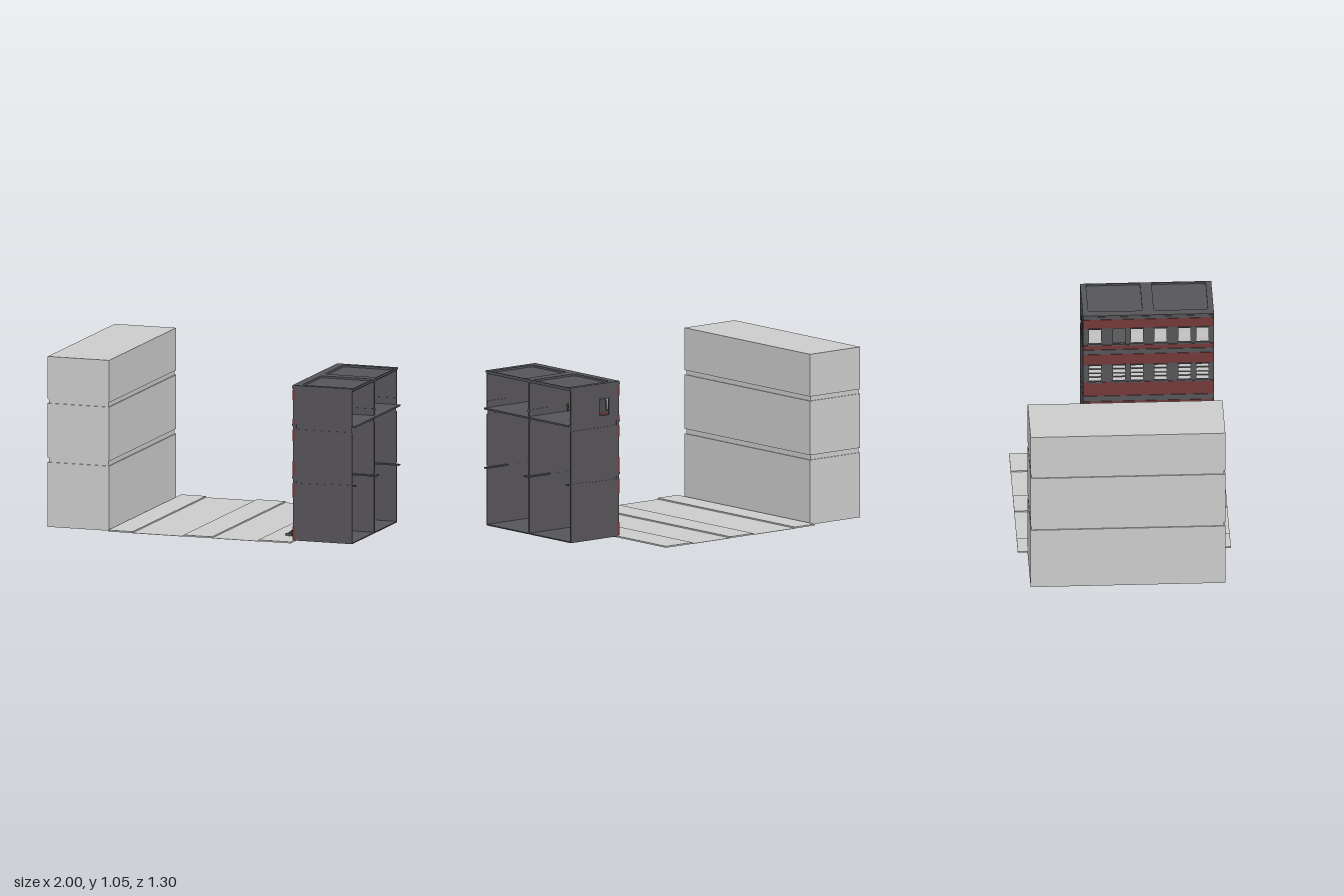
import * as THREE from 'three';

const mat = (color) => new THREE.MeshStandardMaterial({ color, side: THREE.DoubleSide });
const grey = mat(0xcccccc), dark = mat(0x565458), red = mat(0x733838);

function add(parent, name, geometry, material) {
  const mesh = new THREE.Mesh(geometry, material);
  mesh.name = name;
  parent.add(mesh);
  return mesh;
}

// Box given by its extents on each axis
function block(parent, name, material, [x0, x1], [y0, y1], [z0, z1]) {
  const g = new THREE.BoxGeometry(x1 - x0, y1 - y0, z1 - z0);
  g.translate((x0 + x1) / 2, (y0 + y1) / 2, (z0 + z1) / 2);
  return add(parent, name, g, material);
}

// Rectangle outline, corners optionally rounded
function rect(Type, a0, a1, b0, b1, r = 0) {
  const s = new Type();
  s.moveTo(a0 + r, b0);
  s.lineTo(a1 - r, b0);
  if (r) s.quadraticCurveTo(a1, b0, a1, b0 + r);
  s.lineTo(a1, b1 - r);
  if (r) s.quadraticCurveTo(a1, b1, a1 - r, b1);
  s.lineTo(a0 + r, b1);
  if (r) s.quadraticCurveTo(a0, b1, a0, b1 - r);
  s.lineTo(a0, b0 + r);
  if (r) s.quadraticCurveTo(a0, b0, a0 + r, b0);
  return s;
}

const extrude = (shape, depth) =>
  new THREE.ExtrudeGeometry(shape, { depth, bevelEnabled: false, curveSegments: 6 });

// Shape drawn in z and y, extruded from x1 towards the street
function streetPanel(parent, name, material, shape, x1 = 0.605, depth = 0.014) {
  const g = extrude(shape, depth);
  g.rotateY(-Math.PI / 2);
  g.translate(x1, 0, 0);
  return add(parent, name, g, material);
}

// Frame with bowed blinds, split into sashes
function addWindow(house, z, y0, y1, sashes) {
  const w = 0.037;
  const frame = rect(THREE.Shape, z - w - 0.005, z + w + 0.005, y0 - 0.005, y1 + 0.005);
  frame.holes.push(rect(THREE.Path, z - w, z + w, y0, y1));
  streetPanel(house, 'windowFrame', dark, frame, 0.601, 0.015);
  const h = (y1 - y0) / sashes;
  for (let i = 0; i < sashes; i++) {
    const top = y0 + (i + 1) * h, low = y0 + i * h;
    const g = new THREE.PlaneGeometry(h - 0.012, w * 2, 6, 1);
    const p = g.attributes.position;
    for (let k = 0; k < p.count; k++) {
      const t = p.getX(k), across = p.getY(k);
      p.setXYZ(k, 0.598 + 0.006 * Math.sin((t / h) * Math.PI), (low + top) / 2 + t, z + across);
    }
    g.computeVertexNormals();
    add(house, 'blind', g, grey);
    block(house, 'sashRail', dark, [0.594, 0.605], [low - 0.005, low + 0.005], [z - w, z + w]);
    if (sashes > 1) block(house, 'sashBar', dark, [0.591, 0.606],
      [(low + top) / 2 - 0.003, (low + top) / 2 + 0.003], [z - w, z + w]);
  }
}

const STOREYS = [
  { red0: [0.02, 0.10], band: [0.10, 0.28], red1: [0.28, 0.37], win: [0.12, 0.245], sashes: 2, centres: [0.13, -0.127] },
  { red0: [0.41, 0.505], band: [0.505, 0.63], red1: [0.63, 0.70], win: [0.512, 0.622], sashes: 2, centres: [0.13, 0.02, -0.127] },
  { red0: [0.735, 0.765], band: [0.765, 0.885], red1: [0.885, 0.945], win: [0.775, 0.878], sashes: 1, centres: [0.13, 0.02, -0.127] },
];
const WALLS = [[0.015, 0.372], [0.385, 0.705], [0.745, 0.966]];

function createFacade(house, openMiddle) {
  STOREYS.forEach((s, floor) => {
    const band = rect(THREE.Shape, -0.2, 0.2, ...s.band);
    for (const z of s.centres) band.holes.push(rect(THREE.Path, z - 0.037, z + 0.037, ...s.win));
    if (floor === 0) {
      band.holes.push(rect(THREE.Path, -0.05, 0.05, 0.101, 0.24));
      // Brick base sweeps down beside the doorway
      for (const side of [-1, 1]) {
        const base = new THREE.Shape();
        base.moveTo(side * 0.2, 0.02);
        base.lineTo(side * 0.052, 0.02);
        base.lineTo(side * 0.055, 0.055);
        base.quadraticCurveTo(side * 0.07, 0.095, side * 0.115, 0.1);
        base.lineTo(side * 0.2, 0.1);
        streetPanel(house, 'brickBase', red, base, 0.605, 0.018);
        block(house, 'basePanel', dark, [0.596, 0.604], [0.02, 0.1], [side > 0 ? 0.05 : -0.12, side > 0 ? 0.12 : -0.05]);
        block(house, 'doorJamb', dark, [0.588, 0.607], [0.08, 0.245], [side * 0.053 - 0.003, side * 0.053 + 0.003]);
      }
      block(house, 'doorLintel', dark, [0.584, 0.607], [0.24, 0.25], [-0.06, 0.06]);
    } else {
      block(house, 'brickSpandrel', red, [0.589, 0.605], s.red0, [-0.2, 0.2]);
    }
    streetPanel(house, 'windowBand', dark, band, 0.605, 0.012);
    block(house, 'brickFrieze', red, [0.589, 0.605], s.red1, [-0.2, 0.2]);
    for (const z of s.centres) {
      if (!(openMiddle && floor === 2 && z === 0.02)) addWindow(house, z, ...s.win, s.sashes);
      block(house, 'sill', dark, [0.585, 0.605], [s.win[0] - 0.012, s.win[0] - 0.003], [z - 0.046, z + 0.046]);
    }
  });
  // Stepped cornices between storeys and under the roof
  for (const [y0, y1] of [[0.37, 0.41], [0.70, 0.735], [0.945, 0.966]]) {
    block(house, 'cornice', dark, [0.592, 0.612], [y0, y1], [-0.2, 0.2]);
    block(house, 'corniceLip', dark, [0.585, 0.6], [y1 - 0.012, y1], [-0.2, 0.2]);
  }
}

function createHouse(name, sideWindow) {
  const house = new THREE.Group();
  house.name = name;
  createFacade(house, sideWindow);

  // Side walls, one panel per storey with a recessed joint
  for (const side of [-1, 1]) {
    const z0 = side > 0 ? 0.192 : -0.2;
    WALLS.forEach(([y0, y1], floor) => {
      const panel = rect(THREE.Shape, 0.6, 0.975, y0, y1, 0.006);
      if (sideWindow && side < 0 && floor === 2)
        panel.holes.push(rect(THREE.Path, 0.67, 0.75, 0.775, 0.88));
      add(house, 'sideWall', extrude(panel, 0.008).translate(0, 0, z0), dark);
    });
    for (const [y0, y1] of [[0.37, 0.39], [0.70, 0.75]])
      block(house, 'wallJoint', dark, [0.605, 0.97], [y0, y1], [side * 0.195 - 0.002, side * 0.195 + 0.002]);
    block(house, 'floorLedge', dark, [0.82, 0.995], [0.37, 0.378], side > 0 ? [0.175, 0.2] : [-0.2, -0.175]);
    block(house, 'wallTrim', dark, [0.82, 0.975], [0.77, 0.787], side > 0 ? [0.188, 0.2] : [-0.2, -0.188]);
  }
  if (sideWindow) {
    const frame = rect(THREE.Shape, 0.664, 0.756, 0.769, 0.886);
    frame.holes.push(rect(THREE.Path, 0.672, 0.748, 0.777, 0.878));
    add(house, 'sideWindowFrame', extrude(frame, 0.012).translate(0, 0, -0.203), dark);
  }

  // Floors; the rear is open
  block(house, 'groundFloor', dark, [0.6, 0.975], [0.015, 0.022], [-0.195, 0.195]);
  block(house, 'upperFloor', dark, [0.6, 0.995], [0.735, 0.745], [-0.2, 0.2]);

  // Roof with a shallow tray inside a raised rim
  const rim = rect(THREE.Shape, 0.587, 0.98, -0.2, 0.2);
  rim.holes.push(rect(THREE.Path, 0.64, 0.972, -0.165, 0.165, 0.02));
  add(house, 'roofRim', extrude(rim, 0.013).rotateX(Math.PI / 2).translate(0, 0.975, 0), dark);
  block(house, 'roofTray', dark, [0.6, 0.975], [0.955, 0.963], [-0.195, 0.195]);

  // Entrance steps
  const STEPS = 5;
  for (let i = 0; i < STEPS; i++)
    block(house, 'step', dark, [0.495 + i * 0.02, 0.6], [0.013 + i * 0.013, 0.026 + i * 0.013], [-0.048, 0.048]);
  for (const side of [-1, 1])
    block(house, 'stepCurb', dark, [0.49, 0.53], [0.012, 0.03], [side * 0.051 - 0.005, side * 0.051 + 0.005]);
  return house;
}

// Tiny standing figure
function createFigure(x, y, z) {
  const figure = new THREE.Group();
  figure.name = 'figure';
  add(figure, 'body', new THREE.CylinderGeometry(0.007, 0.004, 0.036, 8), dark).position.y = 0.018;
  add(figure, 'head', new THREE.SphereGeometry(0.006, 8, 6), dark).position.y = 0.042;
  figure.position.set(x, y, z);
  return figure;
}

export function createModel() {
  const model = new THREE.Group();
  model.name = 'streetScene';

  // Plain block across the street with two recessed joints
  const plain = new THREE.Group();
  plain.name = 'plainBuilding';
  for (const y of [[0, 0.4], [0.43, 0.765], [0.793, 1.055]])
    block(plain, 'storeyBlock', grey, [-1, -0.602], y, [-0.59, 0.598]);
  for (const y of [[0.4, 0.43], [0.765, 0.793]])
    block(plain, 'storeyJoint', grey, [-0.993, -0.609], y, [-0.583, 0.591]);
  model.add(plain);

  // Road lanes with raised pavements and a median
  for (const x of [[-0.43, -0.1], [0.085, 0.385]])
    block(model, 'roadLane', grey, x, [0.004, 0.006], [-0.65, 0.65]);
  for (const x of [[-0.59, -0.43], [-0.1, 0.085], [0.385, 0.595]])
    block(model, 'pavement', grey, x, [0.005, 0.014], [-0.65, 0.65]);

  // Pair of terraced houses facing the street
  const rearHouse = createHouse('rearHouse', true);
  const frontHouse = createHouse('frontHouse', false);
  frontHouse.position.z = 0.4;
  model.add(rearHouse, frontHouse);

  model.add(createFigure(0.48, 0.014, -0.03), createFigure(0.68, 0.745, 0.18));
  return model;
}
